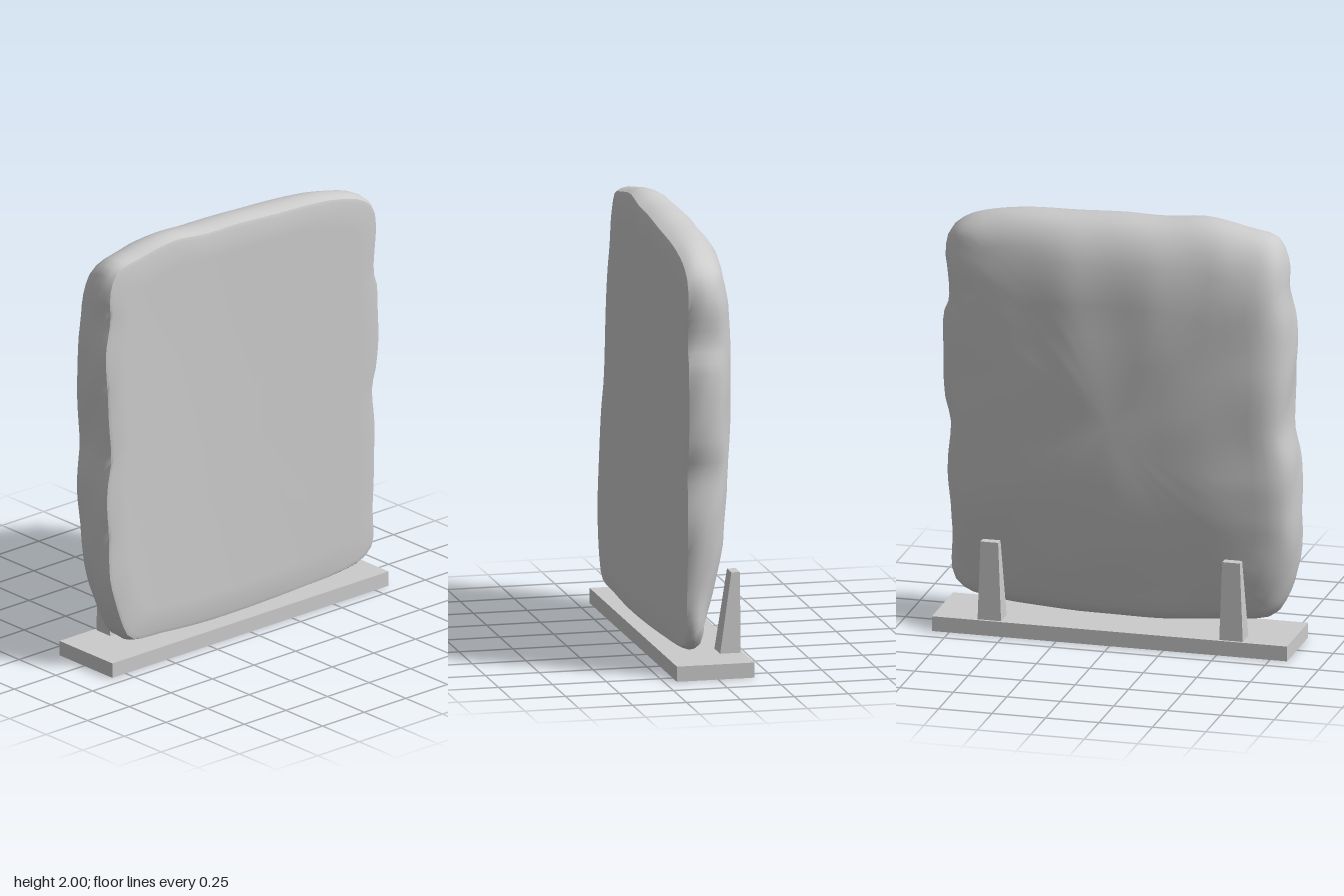
import * as THREE from 'three';
import { toCreasedNormals } from 'three/addons/utils/BufferGeometryUtils.js';

// Piecewise-linear lookup through [position, value] pairs
function lookup(table, t) {
  if (t <= table[0][0]) return table[0][1];
  for (let i = 1; i < table.length; i++) {
    const [t0, v0] = table[i - 1], [t1, v1] = table[i];
    if (t <= t1) return v0 + (v1 - v0) * (t - t0) / (t1 - t0);
  }
  return table[table.length - 1][1];
}

// Rough outline of the slab, clockwise from the top corner
const OUTLINE = [
  [-0.73, 1.93], [-0.6, 1.965], [-0.4, 2.0], [-0.2, 1.985], [0, 1.985], [0.2, 1.975], [0.45, 1.965],
  [0.6, 1.945], [0.72, 1.91], [0.8, 1.85], [0.825, 1.75], [0.805, 1.53], [0.83, 1.45], [0.825, 1.06],
  [0.8, 0.95], [0.815, 0.7], [0.8, 0.4], [0.8, 0.19], [0.74, 0.13], [0.6, 0.1], [0.35, 0.085],
  [0, 0.08], [-0.25, 0.085], [-0.5, 0.105], [-0.7, 0.13], [-0.755, 0.2], [-0.82, 0.42], [-0.83, 0.68],
  [-0.825, 0.9], [-0.8, 1.05], [-0.815, 1.4], [-0.81, 1.56], [-0.785, 1.7], [-0.78, 1.82],
];

// How far the back falls away from its deepest point, across and up the slab
const DROP_X = [[-0.83, 0.1], [-0.78, 0.07], [-0.7, 0.035], [-0.5, 0.01], [-0.2, 0], [0.2, 0.01], [0.5, 0.05], [0.7, 0.1], [0.83, 0.16]];
const DROP_Y = [[0.08, 0.16], [0.2, 0.13], [0.35, 0.085], [0.6, 0.035], [0.8, 0.015], [1.3, 0], [1.7, 0.01], [1.85, 0.045], [1.95, 0.11], [2, 0.15]];

// Nearly flat face, thickest at the lower right-hand corner
const frontZ = (x, y) => {
  const side = THREE.MathUtils.clamp((0.4 - x) / 1.2, 0, 1);
  return 0.137 + side * (0.045 - 0.04 * y);
};
const backZ = (x, y) => {
  const bump = 0.005 * Math.sin(x * 11 + y * 5) * Math.sin(y * 9 - x * 4);
  const z = -0.187 + lookup(DROP_X, x) + lookup(DROP_Y, y) + bump;
  return Math.min(z, frontZ(x, y) - 0.09);
};

// Rings run from the face centre, round the edge, to the back centre: [outline scale, depth 0..1]
const RINGS = [
  [0, 0], [0.5, 0], [0.85, 0], [0.965, 0], [0.982, 0.03], [0.993, 0.18], [1, 0.4], [0.997, 0.62],
  [0.985, 0.82], [0.965, 0.94], [0.93, 1], [0.87, 1], [0.8, 1], [0.7, 1], [0.6, 1], [0.45, 1], [0.3, 1], [0.15, 1], [0, 1],
];

function slabGeometry() {
  const curve = new THREE.CatmullRomCurve3(OUTLINE.map(([x, y]) => new THREE.Vector3(x, y, 0)), true);
  const n = 128, cy = 1.04;
  const rim = curve.getSpacedPoints(n).slice(0, n);
  const positions = [], index = [];
  RINGS.forEach(([scale, depth]) => rim.forEach((p, j) => {
    const edge = depth > 0 && depth < 1;
    const chip = edge ? 0.004 * Math.sin(j * 0.9 + depth * 7) : 0;
    const x = p.x * (scale + chip), y = cy + (p.y - cy) * scale;
    positions.push(x, y, THREE.MathUtils.lerp(frontZ(x, y), backZ(x, y), depth));
  }));
  for (let i = 0; i < RINGS.length - 1; i++) {
    for (let j = 0; j < n; j++) {
      const k = (j + 1) % n;
      const a = i * n + j, b = i * n + k, c = a + n, d = b + n;
      if (i > 0) index.push(a, b, c);
      if (i < RINGS.length - 2) index.push(b, d, c);
      else continue;
    }
  }
  const g = new THREE.BufferGeometry();
  g.setAttribute('position', new THREE.Float32BufferAttribute(positions, 3));
  g.setIndex(index);
  return toCreasedNormals(g, 0.7);
}

// Wedge with an upright back and a sloping front, extruded across its width
function supportGeometry() {
  const profile = new THREE.Shape([[0.155, 0.07], [0.155, 0.44], [0.115, 0.44], [0.06, 0.07]].map(([z, y]) => new THREE.Vector2(z, y)));
  const g = new THREE.ExtrudeGeometry(profile, { depth: 0.11, bevelEnabled: false });
  g.translate(0, 0, -0.055);
  g.rotateY(Math.PI / 2); // profile +x becomes -z
  // The wedge narrows a little toward its top
  const pos = g.attributes.position;
  for (let i = 0; i < pos.count; i++) if (pos.getY(i) > 0.3) pos.setX(i, pos.getX(i) * 0.75);
  g.computeVertexNormals();
  return g;
}

export function createModel() {
  const group = new THREE.Group();
  const material = new THREE.MeshStandardMaterial({ color: 0xcccccc });
  const add = (name, geometry) => {
    const mesh = new THREE.Mesh(geometry, material);
    mesh.name = name;
    group.add(mesh);
    return mesh;
  };

  // Stone slab
  add('stoneSlab', slabGeometry());

  // Base plate
  add('basePlate', new THREE.BoxGeometry(1.66, 0.07, 0.36)).position.set(0, 0.035, 0.012);

  // Pair of rear supports
  const support = supportGeometry();
  add('leftSupport', support).position.x = 0.565;
  add('rightSupport', support).position.x = -0.565;

  return group;
}
